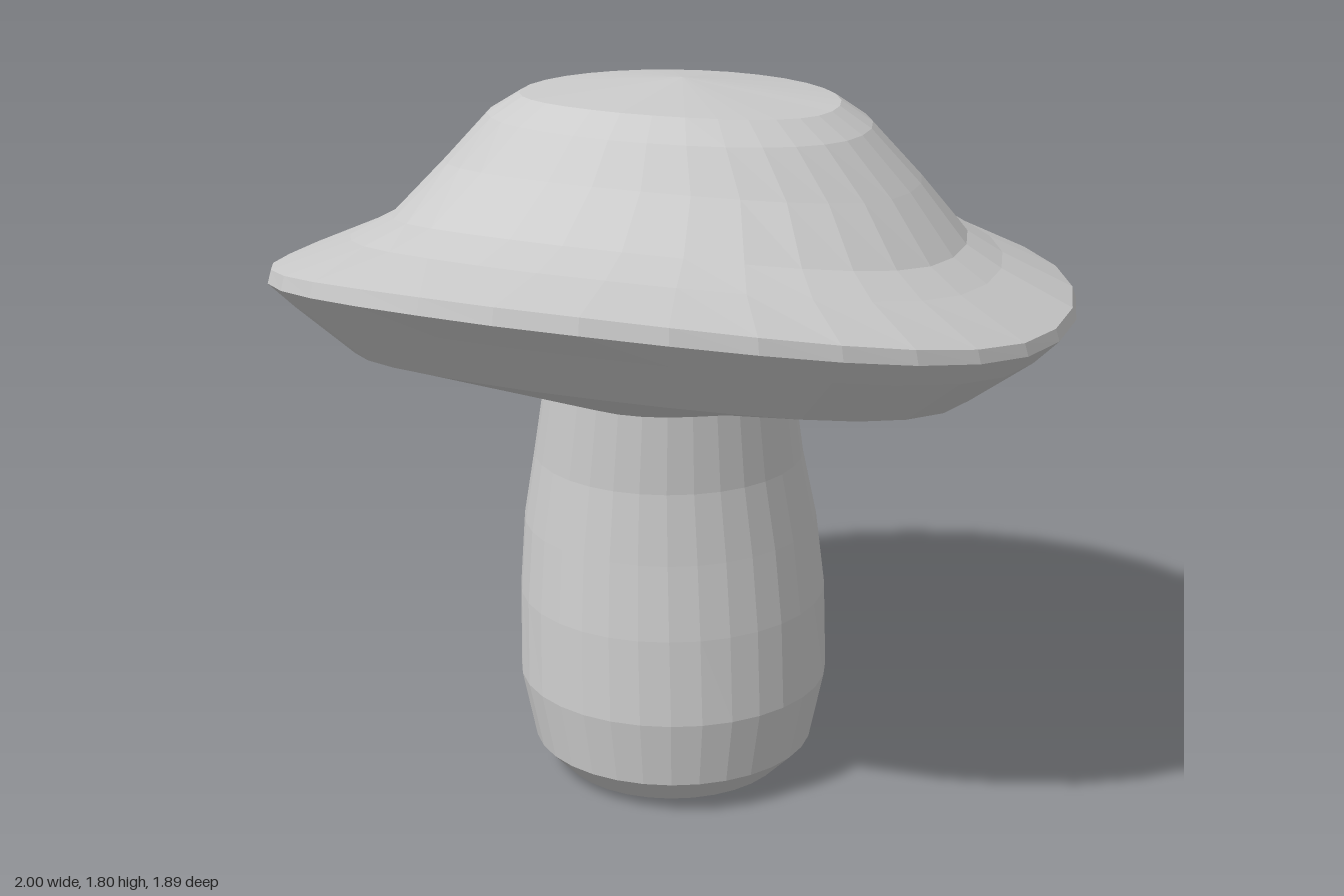
import * as THREE from 'three';

const SIDES = 32;

// Skin a stack of closed rings, listed from bottom to top.
// Ring: [x min, x max, z back, z front, y at sides, y at front, y at back]
function loft(name, rings, material, skew = 0) {
  const pos = [];
  const index = [];
  for (const [x0, x1, z0, z1, y, yFront = y, yBack = y] of rings) {
    for (let j = 0; j < SIDES; j++) {
      const a = (j / SIDES) * Math.PI * 2;
      const c = Math.cos(a), s = Math.sin(a);
      // slight bulge at the back left, flattening at the back right
      const k = s < 0 ? 1 - skew * Math.sin(2 * a) : 1 - skew * 0.4 * Math.abs(Math.sin(2 * a));
      const lift = s > 0 ? (yFront - y) * Math.pow(s, 1.6) : (yBack - y) * s * s;
      pos.push(
        (x0 + x1) / 2 + ((x1 - x0) / 2) * c * k,
        y + lift,
        (z0 + z1) / 2 + ((z1 - z0) / 2) * s * k
      );
    }
  }
  const isPoint = (r) => r[0] === r[1];
  for (let i = 0; i < rings.length - 1; i++) {
    for (let j = 0; j < SIDES; j++) {
      const n = (j + 1) % SIDES;
      const a = i * SIDES + j, b = a + SIDES;
      const d = i * SIDES + n, c = d + SIDES;
      if (!isPoint(rings[i + 1])) index.push(a, b, c);
      if (!isPoint(rings[i])) index.push(a, c, d);
      else continue;
      if (isPoint(rings[i + 1])) index.splice(-3, 3, a, b, d);
    }
  }
  const geometry = new THREE.BufferGeometry();
  geometry.setAttribute('position', new THREE.Float32BufferAttribute(pos, 3));
  geometry.setIndex(index);
  geometry.computeVertexNormals();
  const mesh = new THREE.Mesh(geometry, material);
  mesh.name = name;
  return mesh;
}

export function createModel() {
  const group = new THREE.Group();
  group.name = 'mushroom';
  const material = new THREE.MeshStandardMaterial({ color: 0xcccccc, flatShading: true });

  // Bulging stem that leans as it rises
  const stem = loft('stem', [
    [0, 0, -0.05, -0.05, 0],
    [-0.2, 0.2, -0.25, 0.16, 0],
    [-0.29, 0.29, -0.34, 0.25, 0.02],
    [-0.36, 0.36, -0.41, 0.315, 0.09],
    [-0.405, 0.39, -0.465, 0.335, 0.26],
    [-0.41, 0.375, -0.485, 0.32, 0.48],
    [-0.4, 0.35, -0.465, 0.295, 0.67],
    [-0.365, 0.32, -0.41, 0.275, 0.85],
    [-0.32, 0.305, -0.345, 0.275, 1.06],
  ], material);

  // Cap: underside, rim raised at the front, dome and shallow crown
  const cap = loft('cap', [
    [0, 0, -0.035, -0.035, 1.05],
    [-0.32, 0.305, -0.345, 0.275, 1.05],
    [-0.79, 0.79, -0.72, 0.74, 1.11, 1.25, 1.11],
    [-0.94, 0.94, -0.87, 0.87, 1.22, 1.39, 1.23],
    [-1, 1, -0.943, 0.943, 1.28, 1.46, 1.3],
    [-0.99, 0.99, -0.935, 0.935, 1.31, 1.5, 1.31],
    [-0.81, 0.81, -0.78, 0.72, 1.39, 1.52, 1.39],
    [-0.72, 0.72, -0.69, 0.59, 1.44, 1.55, 1.45],
    [-0.6, 0.6, -0.58, 0.43, 1.58, 1.65, 1.56],
    [-0.48, 0.48, -0.47, 0.34, 1.71, 1.74, 1.71],
    [-0.4, 0.4, -0.41, 0.27, 1.76, 1.79, 1.76],
    [0, 0, -0.1, -0.1, 1.805],
  ], material, 0.025);

  group.add(stem, cap);
  return group;
}
